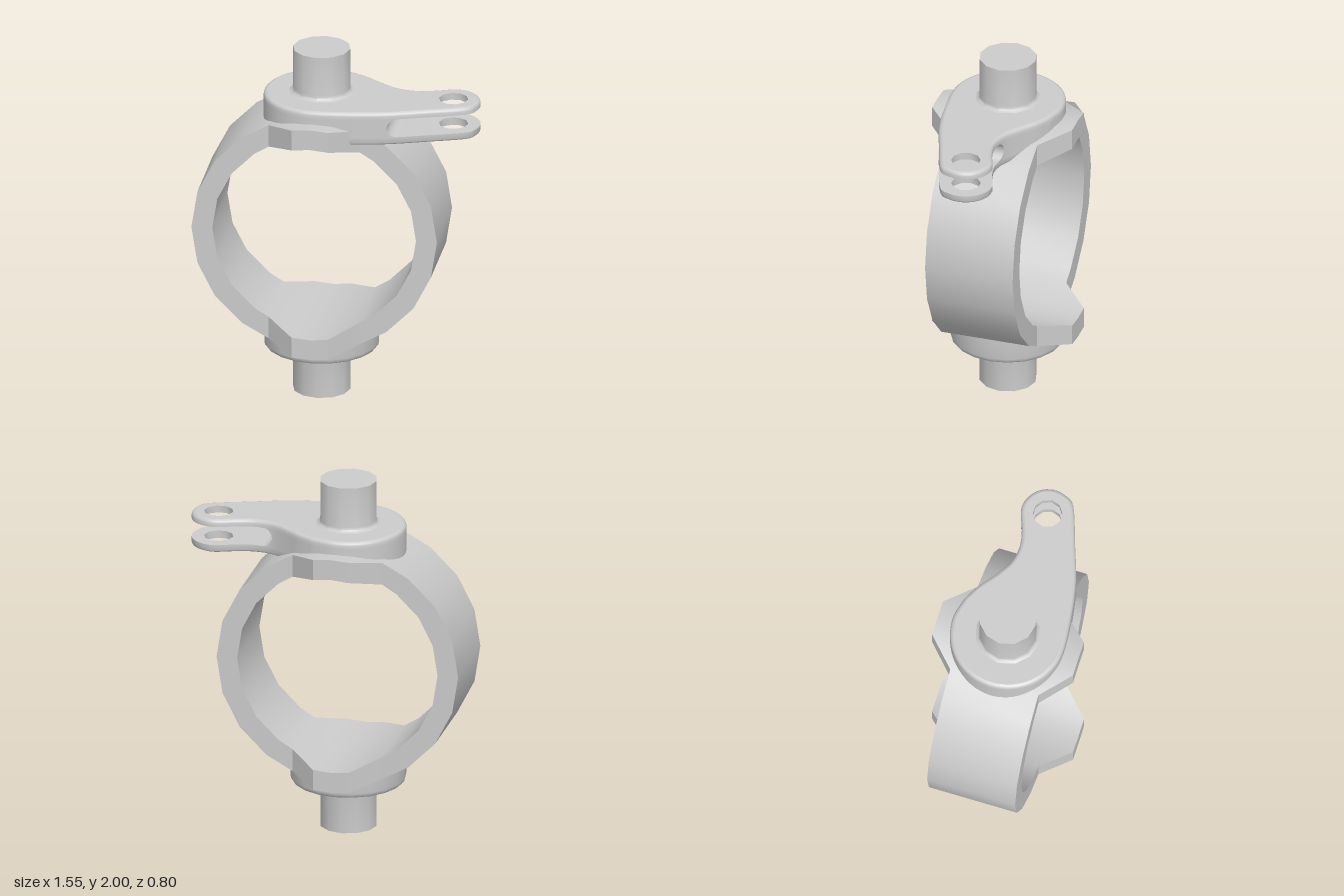
import * as THREE from 'three';
import { toCreasedNormals } from 'three/addons/utils/BufferGeometryUtils.js';

const material = new THREE.MeshStandardMaterial({ color: 0xcccccc, side: THREE.DoubleSide });
const CX = -0.1; // axis of the ring and pins

function part(name, geometry, parent) {
  const mesh = new THREE.Mesh(geometry, material);
  mesh.name = name;
  parent.add(mesh);
  return mesh;
}

// Skin between closed loops of [x, y, z] points
function loft(loops) {
  const pos = [];
  for (let i = 0; i < loops.length - 1; i++) {
    const p = loops[i], q = loops[i + 1], n = p.length;
    for (let k = 0; k < n; k++) {
      const m = (k + 1) % n;
      pos.push(...p[k], ...p[m], ...q[k], ...p[m], ...q[m], ...q[k]);
    }
  }
  const g = new THREE.BufferGeometry();
  g.setAttribute('position', new THREE.Float32BufferAttribute(pos, 3));
  return toCreasedNormals(g, 0.65);
}

function lathe(profile, sides) {
  const g = new THREE.LatheGeometry(profile.map(([r, y]) => new THREE.Vector2(r, y)), sides);
  return toCreasedNormals(g, 0.7).translate(CX, 0, 0);
}

// Ring whose top and bottom widen into trapezoid tabs
function ringGeometry() {
  const R = 0.675, r = 0.56;
  const quarter = [[0, 0.4], [0.1, 0.4], [0.25, 0.25]].map(([x, w]) => [Math.asin(x / R), Math.asin(x / r), w]);
  for (const deg of [36, 54, 72, 90]) {
    const a = THREE.MathUtils.degToRad(deg);
    quarter.push([a, a, 0.25]);
  }
  const back = quarter.slice(0, -1).reverse().map(([o, i, w]) => [Math.PI - o, Math.PI - i, w]);
  const half = [...quarter, ...back];
  const full = [...half, ...half.slice(1).map(([o, i, w]) => [o + Math.PI, i + Math.PI, w])];
  return loft(full.map(([o, i, w]) => {
    const ox = CX + R * Math.sin(o), oy = 1 + R * Math.cos(o);
    const ix = CX + r * Math.sin(i), iy = 1 + r * Math.cos(i);
    return [[ox, oy, -w], [ox, oy, w], [ix, iy, w], [ix, iy, -w]];
  }));
}

// Points on an arc in plan, with v = -z
function arc(cx, r, from, to, steps) {
  return Array.from({ length: steps + 1 }, (_, i) => {
    const a = THREE.MathUtils.degToRad(from + (to - from) * i / steps);
    return [cx + r * Math.cos(a), r * Math.sin(a)];
  });
}

// Teardrop plan of the lever, counter-clockwise
function leverOutline() {
  const pts = [
    ...arc(CX, 0.315, 65, 270, 9),
    [0.1, -0.298], [0.3, -0.262], [0.5, -0.195],
    ...arc(0.625, 0.147, -55, 95, 5),
    [0.5, 0.108], [0.4, 0.09], [0.3, 0.11], [0.2, 0.175], [0.12, 0.237],
  ].map(([x, v]) => new THREE.Vector2(x, v));
  pts.push(pts[0].clone());
  return new THREE.SplineCurve(pts).getPoints(96).slice(0, -1);
}

function inset(pts, d) {
  const n = pts.length;
  return pts.map((p, i) => {
    const t = pts[(i + 1) % n].clone().sub(pts[(i + n - 1) % n]).normalize();
    return new THREE.Vector2(p.x - t.y * d, p.y + t.x * d);
  });
}

// Collapse everything beyond x = limit onto the two points where the plan crosses it
function clip(pts, limit) {
  const cross = {};
  pts.forEach((p, i) => {
    const q = pts[(i + 1) % pts.length];
    if ((p.x > limit) !== (q.x > limit)) {
      const c = p.clone().lerp(q, (limit - p.x) / (q.x - p.x));
      cross[c.y > 0] = c;
    }
  });
  return pts.map(p => (p.x > limit ? cross[p.y > 0] : p));
}

const atHeight = (pts, y) => pts.map(p => [p.x, y, -p.y]);

function buildLever() {
  const lever = new THREE.Group();
  lever.name = 'lever';
  const outline = leverOutline();
  const hole = arc(0.625, 0.08, 0, 324, 9).map(([x, v]) => new THREE.Vector2(x, v));
  const face = (name, pts, y) => {
    const shape = new THREE.Shape(pts);
    shape.holes.push(new THREE.Path(hole));
    part(name, new THREE.ShapeGeometry(shape).rotateX(-Math.PI / 2).translate(0, y, 0), lever);
  };
  // Fork prongs, as [height, inset] layers from bottom to top
  const prongs = {
    lowerProng: [[1.56, 0.012], [1.564, 0.004], [1.572, 0], [1.603, 0]],
    upperProng: [[1.708, 0], [1.727, 0], [1.737, 0.003], [1.744, 0.01], [1.747, 0.02]],
  };
  for (const [name, layers] of Object.entries(prongs)) {
    part(name + 'Edge', loft(layers.map(([y, d]) => atHeight(inset(outline, d), y))), lever);
    const ends = [layers[0], layers[layers.length - 1]];
    for (const [y, d] of ends) face(name + 'Face', inset(outline, d), y);
    const reversed = hole.slice().reverse();
    part(name + 'Hole', loft(ends.map(([y]) => atHeight(reversed, y))), lever);
  }
  // Solid middle, ending in the round bottom of the slot
  const layers = [];
  for (let i = 0; i <= 10; i++) {
    const a = -Math.PI / 2 + Math.PI * i / 10;
    layers.push(atHeight(clip(outline, 0.353 - 0.053 * Math.cos(a)), 1.6555 + 0.0525 * Math.sin(a)));
  }
  part('leverBody', loft(layers), lever);
  return lever;
}

export function createModel() {
  const model = new THREE.Group();
  model.name = 'pivotRing';
  part('ring', ringGeometry(), model);
  model.add(buildLever());

  // Pins with filleted roots
  part('upperPin', lathe([[0.185, 1.745], [0.17, 1.75], [0.16, 1.76], [0.157, 1.775], [0.157, 2], [0, 2]], 12), model);
  part('lowerPin', lathe([[0, 0], [0.157, 0], [0.157, 0.232], [0.16, 0.247], [0.17, 0.257], [0.185, 0.262]], 12), model);

  // Round boss under the ring
  part('lowerBoss', lathe([[0, 0.26], [0.292, 0.26], [0.304, 0.264], [0.311, 0.272], [0.315, 0.288], [0.315, 0.43]], 20), model);
  return model;
}
